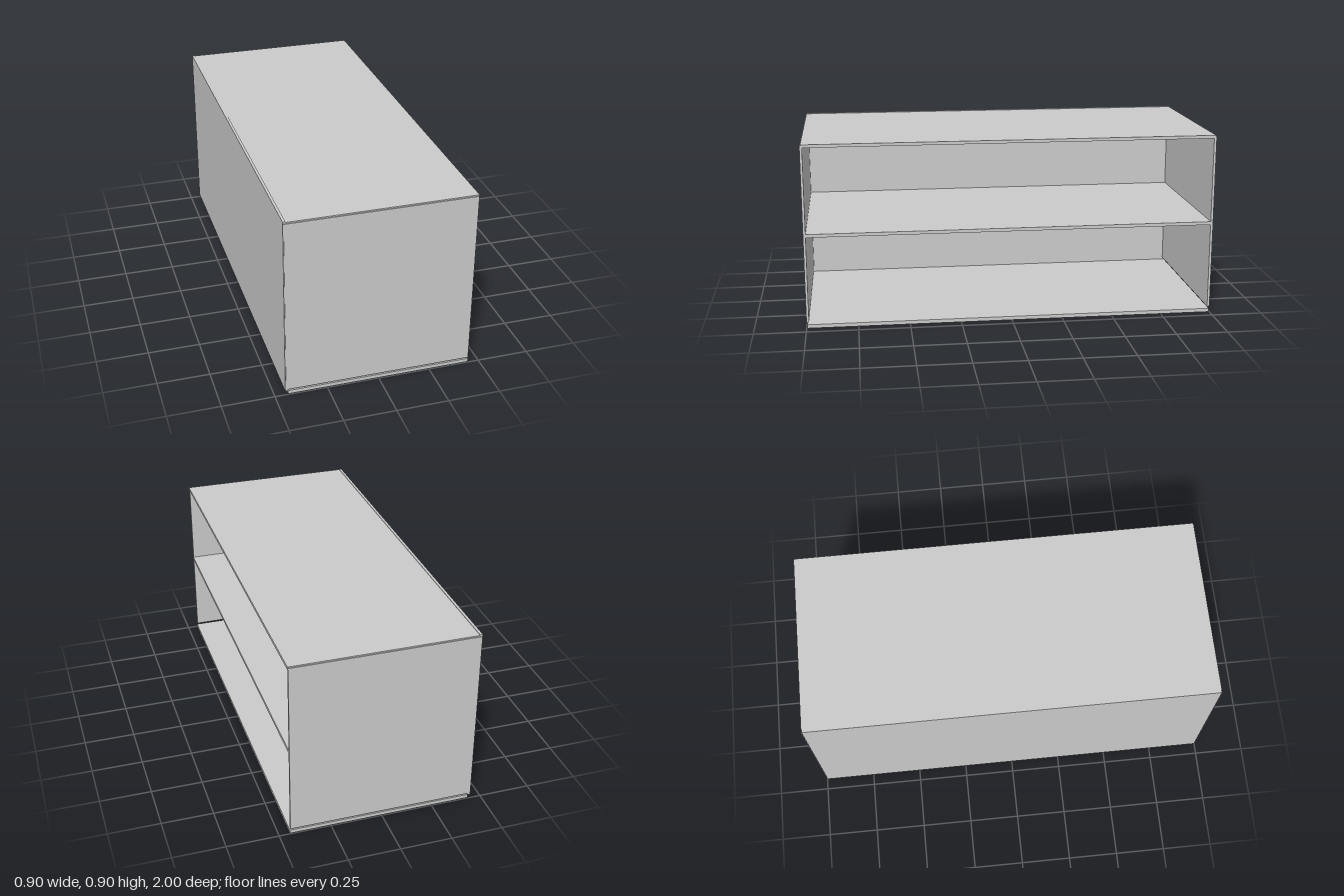
import * as THREE from 'three';

const material = new THREE.MeshStandardMaterial({ color: 0xcccccc });

// A board spanning the given [min, max] ranges
function board(name, [x0, x1], [y0, y1], [z0, z1]) {
  const mesh = new THREE.Mesh(new THREE.BoxGeometry(x1 - x0, y1 - y0, z1 - z0), material);
  mesh.name = name;
  mesh.position.set((x0 + x1) / 2, (y0 + y1) / 2, (z0 + z1) / 2);
  return mesh;
}

export function createModel() {
  const group = new THREE.Group();
  group.name = 'openShelfUnit';

  // Horizontal boards, with a narrow gap left above the base
  const span = [-0.996, 0.996];
  group.add(board('base', [-0.437, 0.448], [0, 0.018], span));
  group.add(board('shelf', [-0.437, 0.448], [0.452, 0.468], [-0.99, 0.99]));
  group.add(board('top', [-0.437, 0.448], [0.885, 0.9], span));

  // Closed long side, opposite the open one
  group.add(board('backPanel', [-0.45, -0.437], [0.017, 0.903], span));

  // End panels
  for (const s of [-1, 1]) {
    const z = s > 0 ? [0.988, 1] : [-1, -0.988];
    group.add(board(s > 0 ? 'frontEndPanel' : 'rearEndPanel', [-0.447, 0.446], [0.028, 0.894], z));
  }
  return group;
}
